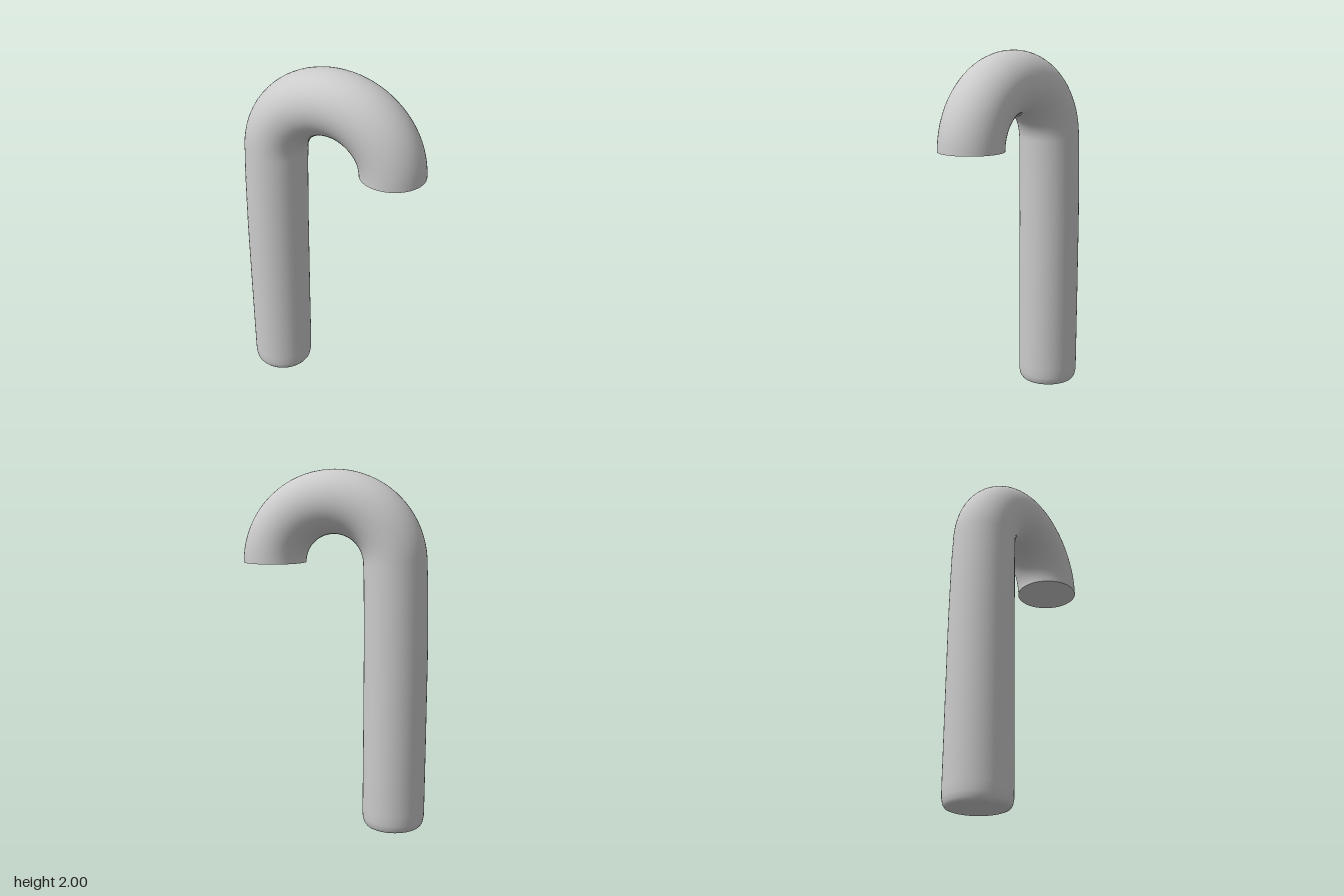
import * as THREE from 'three';

const SIDES = 48;

// Sweep round sections {x, y, r, a} in the XY plane; a is the heading angle.
function sweep(sections) {
  const pos = [], index = [];
  sections.forEach(({ x, y, r, a }, i) => {
    for (let j = 0; j < SIDES; j++) {
      const t = (j / SIDES) * Math.PI * 2;
      const n = r * Math.cos(t);
      pos.push(x + n * Math.sin(a), y - n * Math.cos(a), r * Math.sin(t));
      if (i === 0) continue;
      const k = (j + 1) % SIDES, p = (i - 1) * SIDES, q = i * SIDES;
      index.push(p + j, q + j, p + k, p + k, q + j, q + k);
    }
  });
  const g = new THREE.BufferGeometry();
  g.setAttribute('position', new THREE.Float32BufferAttribute(pos, 3));
  g.setIndex(index);
  g.computeVertexNormals();
  return g;
}

export function createModel() {
  const group = new THREE.Group();
  const material = new THREE.MeshStandardMaterial({ color: 0xcccccc });
  const add = (name, geometry) => {
    const mesh = new THREE.Mesh(geometry, material);
    mesh.name = name;
    group.add(mesh);
    return mesh;
  };

  // Straight stem with a rounded foot, leaning in slightly near the top
  const up = Math.PI / 2;
  const sections = [
    [-0.351, 0, 0.145], [-0.351, 0.006, 0.16], [-0.351, 0.02, 0.17], [-0.351, 0.05, 0.176],
    [-0.351, 0.1, 0.177], [-0.352, 0.5, 0.177], [-0.352, 1, 0.177], [-0.349, 1.25, 0.176], [-0.346, 1.4, 0.175],
  ].map(([x, y, r]) => ({ x, y, r, a: up }));

  // Half-circle hook, widening a little to the open end
  const STEPS = 40;
  for (let i = 0; i <= STEPS; i++) {
    const f = i / STEPS, t = Math.PI * (1 - f);
    sections.push({
      x: Math.cos(t) * (0.342 + 0.007 * f),
      y: 1.49 + Math.sin(t) * 0.336,
      r: 0.174 + 0.003 * f * f,
      a: t - up,
    });
  }
  add('caneTube', sweep(sections));

  // Flat end faces, both looking down
  const cap = (name, { x, y, r }) => {
    const mesh = add(name, new THREE.CircleGeometry(r, SIDES).rotateX(Math.PI / 2));
    mesh.position.set(x, y, 0);
  };
  cap('footCap', sections[0]);
  cap('hookCap', sections[sections.length - 1]);

  return group;
}
